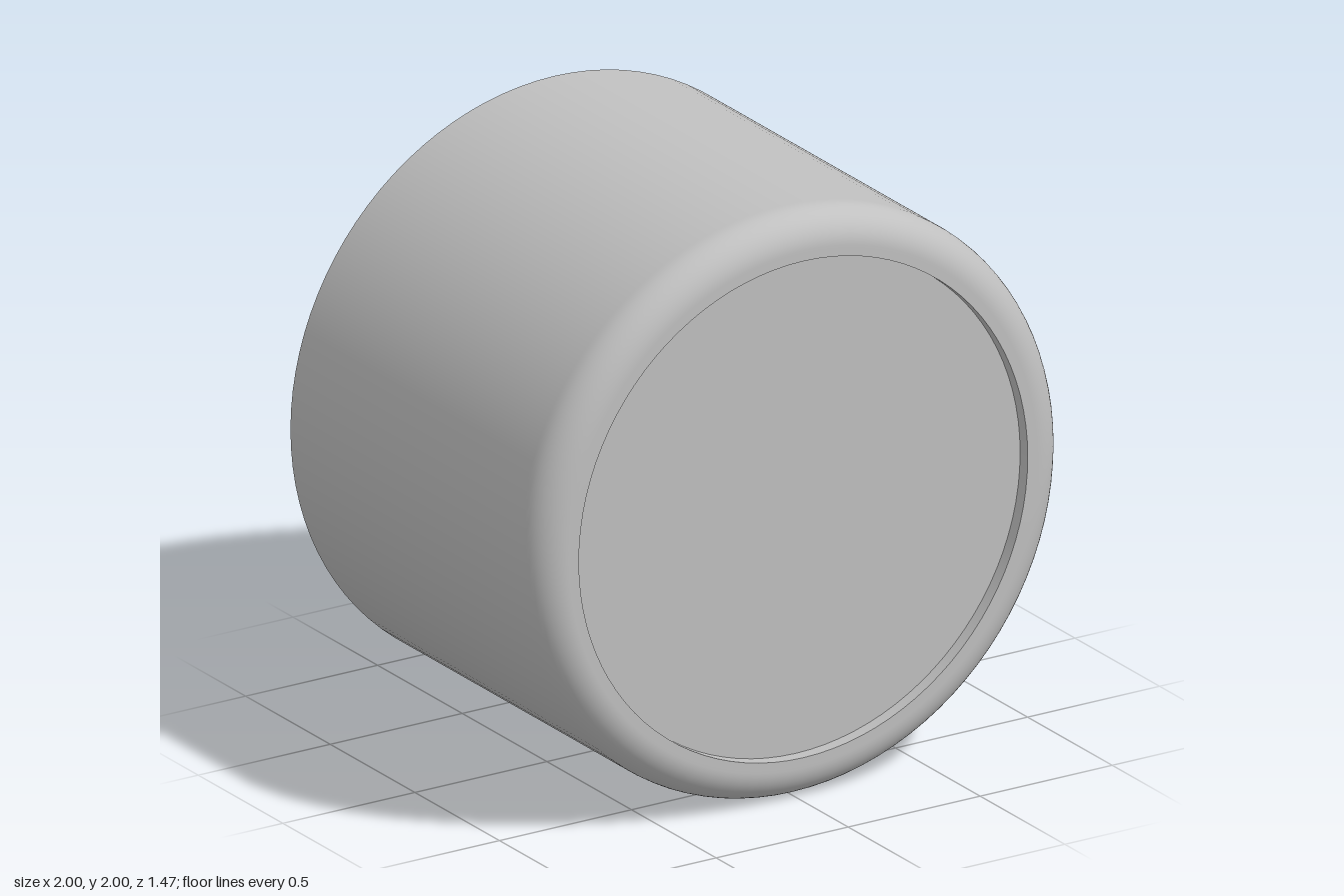
import * as THREE from 'three';

export function createModel() {
  const model = new THREE.Group();
  const grey = new THREE.MeshStandardMaterial({ color: 0xc0c0c0 });
  grey.name = 'plain grey';

  const outer = 1, inner = 0.95, recess = 0.85, fillet = 0.115;
  const back = -0.735, front = 0.735, innerFloor = 0.645, outerFloor = 0.69;

  // Turn a run of [radius, z] points around the z axis; separate runs keep edges sharp
  function turned(name, points) {
    const profile = points.map(([r, z]) => new THREE.Vector2(r, z));
    const geometry = new THREE.LatheGeometry(profile, 96).rotateX(Math.PI / 2);
    const mesh = new THREE.Mesh(geometry, grey);
    mesh.name = name;
    mesh.position.y = 1;
    model.add(mesh);
  }

  // Outer wall, rounded front edge and flat lip in one smooth run
  const shell = [[outer, back], [outer, front - fillet - 0.01]];
  for (let i = 0; i <= 12; i++) {
    const a = (i / 12) * Math.PI / 2;
    shell.push([outer - fillet + fillet * Math.cos(a), front - fillet + fillet * Math.sin(a)]);
  }
  shell.push([recess, front]);

  turned('outerShell', shell);
  turned('recessWall', [[recess, front], [recess, outerFloor]]);
  turned('frontPanel', [[recess, outerFloor], [0, outerFloor]]);
  turned('innerFloor', [[0, innerFloor], [inner, innerFloor]]);
  turned('innerWall', [[inner, innerFloor], [inner, back]]);
  turned('backRim', [[inner, back], [outer, back]]);

  return model;
}
